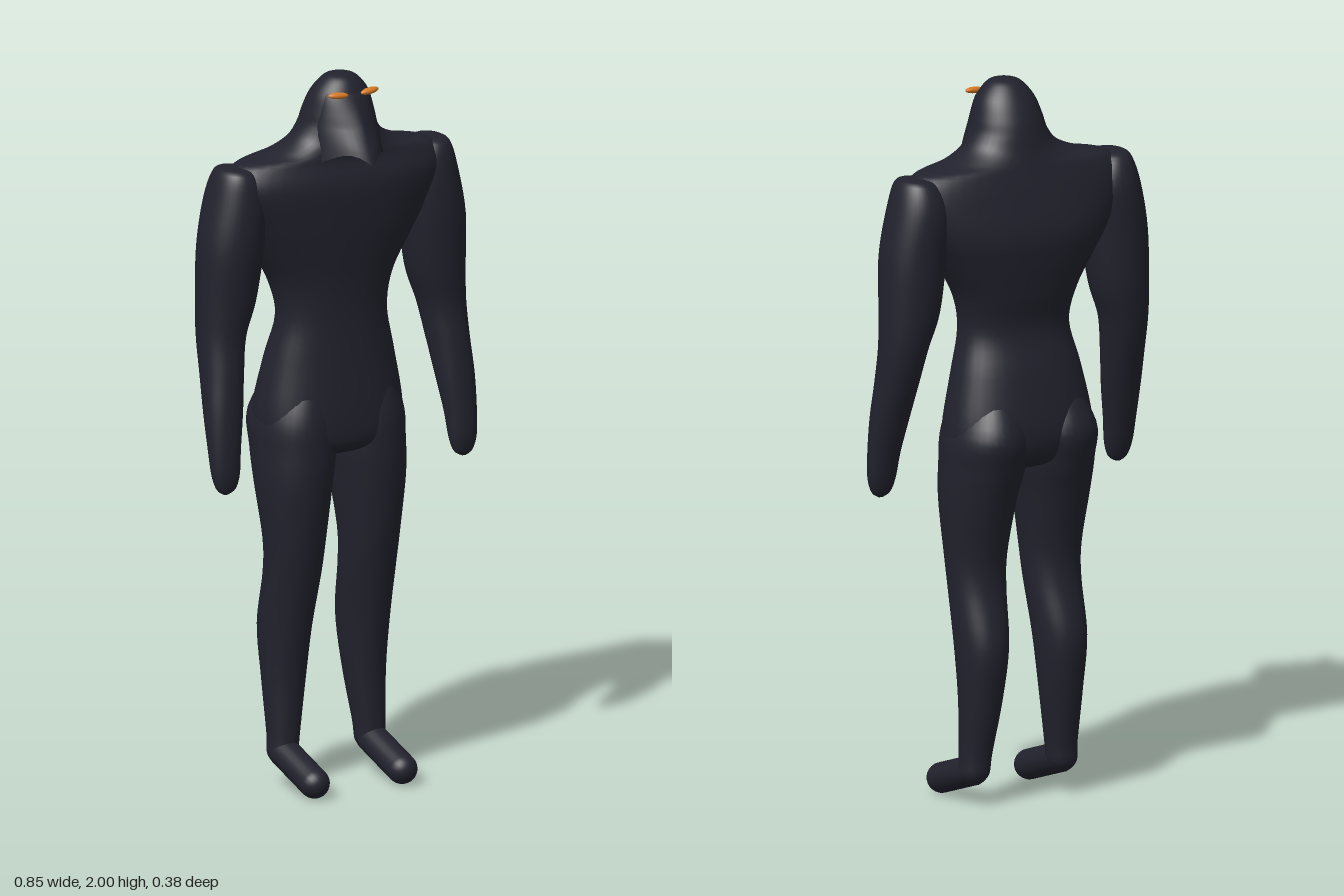
import * as THREE from 'three';

const suit = new THREE.MeshStandardMaterial({ color: 0x22222e });
suit.name = 'dark suit';
const glow = new THREE.MeshStandardMaterial({ color: 0xd67a22 });
glow.name = 'orange eyes';

const SIDES = 40;

// Smoothly fill in cross-sections between the given ones.
function refine(rows, steps = 5) {
  const out = [];
  for (let i = 0; i < rows.length - 1; i++) {
    const a = rows[Math.max(i - 1, 0)], b = rows[i], c = rows[i + 1];
    const d = rows[Math.min(i + 2, rows.length - 1)];
    for (let s = 0; s < steps; s++) {
      const t = s / steps, t2 = t * t, t3 = t2 * t;
      out.push(b.map((v, k) => 0.5 * (2 * v + (c[k] - a[k]) * t
        + (2 * a[k] - 5 * v + 4 * c[k] - d[k]) * t2 + (3 * v - a[k] - 3 * c[k] + d[k]) * t3)));
    }
  }
  out.push(rows[rows.length - 1]);
  return out;
}

// Skin over rounded cross-sections, listed from top to bottom:
// [y, xMin, xMax, zFront, zBack, roundness exponent]
function loft(rows, move) {
  const pos = [], index = [];
  for (const [y, x0, x1, zf, zb, n] of rows) {
    for (let j = 0; j < SIDES; j++) {
      const a = (j / SIDES) * Math.PI * 2, c = Math.cos(a), s = Math.sin(a);
      const p = new THREE.Vector3(
        (x0 + x1) / 2 + (x1 - x0) / 2 * Math.sign(c) * Math.abs(c) ** (2 / n), y,
        (zf + zb) / 2 + (zf - zb) / 2 * Math.sign(s) * Math.abs(s) ** (2 / n));
      if (move) move(p);
      pos.push(p.x, p.y, p.z);
    }
  }
  for (let i = 0; i < rows.length - 1; i++) {
    for (let j = 0; j < SIDES; j++) {
      const a = i * SIDES + j, b = i * SIDES + (j + 1) % SIDES;
      index.push(a, b, a + SIDES, b, b + SIDES, a + SIDES);
    }
  }
  // End caps
  const last = (rows.length - 1) * SIDES;
  for (let j = 1; j < SIDES - 1; j++) {
    index.push(0, j + 1, j, last, last + j, last + j + 1);
  }
  const g = new THREE.BufferGeometry();
  g.setAttribute('position', new THREE.Float32BufferAttribute(pos, 3));
  g.setIndex(index);
  g.computeVertexNormals();
  return g;
}

const mirrorRows = (rows, side) =>
  rows.map(([y, a, b, f, k]) => (side > 0 ? [y, a, b, f, k, 2.1] : [y, -b, -a, f, k, 2.1]));

export function createModel() {
  const model = new THREE.Group();
  const add = (name, geometry, material = suit) => {
    const mesh = new THREE.Mesh(geometry, material);
    mesh.name = name;
    model.add(mesh);
    return mesh;
  };

  // Hooded head, shoulders, chest, waist and hips: [y, half width, front, back, roundness]
  const body = [
    [2.0, 0.012, 0.03, 0.008, 2], [1.99, 0.045, 0.066, -0.025, 2], [1.95, 0.08, 0.092, -0.06, 2],
    [1.9, 0.098, 0.1, -0.085, 2], [1.86, 0.11, 0.1, -0.097, 2], [1.82, 0.142, 0.095, -0.105, 2],
    [1.79, 0.21, 0.088, -0.113, 2.1], [1.765, 0.31, 0.085, -0.12, 2.3], [1.7, 0.333, 0.104, -0.14, 2.5],
    [1.6, 0.285, 0.1, -0.165, 2.5], [1.52, 0.238, 0.092, -0.16, 2.4], [1.42, 0.182, 0.08, -0.143, 2.3],
    [1.32, 0.163, 0.075, -0.125, 2.3], [1.2, 0.19, 0.08, -0.155, 2.3], [1.05, 0.217, 0.09, -0.18, 2.4],
    [0.97, 0.2, 0.085, -0.16, 2.4], [0.94, 0.12, 0.05, -0.11, 2.2], [0.93, 0.02, 0, -0.05, 2],
  ].map(([y, w, f, b, n]) => [y, -w, w, f, b, n]);
  add('body', loft(refine(body)));

  // Pointed mask front with an arched lower edge; the doubled row keeps that edge sharp
  const mask = refine([
    [1.965, -0.05, 0.05, 0.075, 0.02, 1.8], [1.95, -0.07, 0.07, 0.094, 0, 1.8],
    [1.9, -0.085, 0.085, 0.125, -0.03, 1.6], [1.85, -0.095, 0.095, 0.152, -0.05, 1.45],
    [1.8, -0.1, 0.1, 0.178, -0.06, 1.35], [1.77, -0.104, 0.104, 0.19, -0.065, 1.3],
  ]);
  mask.push(mask[mask.length - 1], [1.8, -0.02, 0.02, 0.06, 0.02, 1.3]);
  add('mask', loft(mask, (p) => {
    const low = THREE.MathUtils.clamp((1.87 - p.y) / 0.1, 0, 1);
    p.y += 0.03 * low * Math.sin(Math.PI * Math.min(Math.abs(p.x) / 0.1, 1));
  }));

  // Limbs: [y, inner x, outer x, front, back]
  const arm = refine([
    [1.768, 0.31, 0.335, 0, -0.05], [1.755, 0.26, 0.362, 0.045, -0.09], [1.68, 0.225, 0.387, 0.065, -0.118],
    [1.55, 0.232, 0.412, 0.068, -0.118], [1.4, 0.252, 0.417, 0.053, -0.11], [1.3, 0.285, 0.418, 0.045, -0.095],
    [1.2, 0.302, 0.42, 0.055, -0.068], [1.1, 0.315, 0.425, 0.065, -0.035], [1.0, 0.33, 0.424, 0.07, -0.005],
    [0.93, 0.337, 0.42, 0.07, 0.013], [0.89, 0.35, 0.407, 0.062, 0.027], [0.875, 0.372, 0.388, 0.05, 0.04],
  ]);
  const leg = refine([
    [1.18, 0.05, 0.15, 0.05, -0.12], [1.05, 0.006, 0.214, 0.085, -0.192], [0.95, 0.002, 0.22, 0.09, -0.175],
    [0.85, 0.017, 0.218, 0.085, -0.145], [0.7, 0.035, 0.203, 0.065, -0.11], [0.6, 0.042, 0.198, 0.047, -0.112],
    [0.45, 0.055, 0.195, 0.02, -0.145], [0.3, 0.07, 0.187, 0, -0.125], [0.15, 0.092, 0.181, -0.005, -0.097],
    [0.09, 0.1, 0.18, -0.008, -0.09], [0.062, 0.125, 0.155, -0.03, -0.065],
  ]);

  for (const side of [1, -1]) {
    const label = side > 0 ? 'left' : 'right';
    add(label + 'Arm', loft(mirrorRows(arm, side)));
    add(label + 'Leg', loft(mirrorRows(leg, side)));

    // Foot, sloping down to the toe
    const heel = new THREE.Vector3(side * 0.14, 0.1, -0.045);
    const toe = new THREE.Vector3(side * 0.14, 0.046, 0.113);
    const foot = add(label + 'Foot', new THREE.CapsuleGeometry(0.042, heel.distanceTo(toe), 10, 24));
    foot.position.copy(heel).add(toe).multiplyScalar(0.5);
    foot.quaternion.setFromUnitVectors(new THREE.Vector3(0, 1, 0), toe.clone().sub(heel).normalize());

    // Narrow eye
    const eye = add(label + 'Eye', new THREE.SphereGeometry(1, 24, 16), glow);
    eye.scale.set(0.03, 0.009, 0.011);
    eye.position.set(side * 0.05, 1.955, 0.092);
    eye.rotation.set(0.15, side * 0.12, side * 0.06);
  }
  return model;
}
